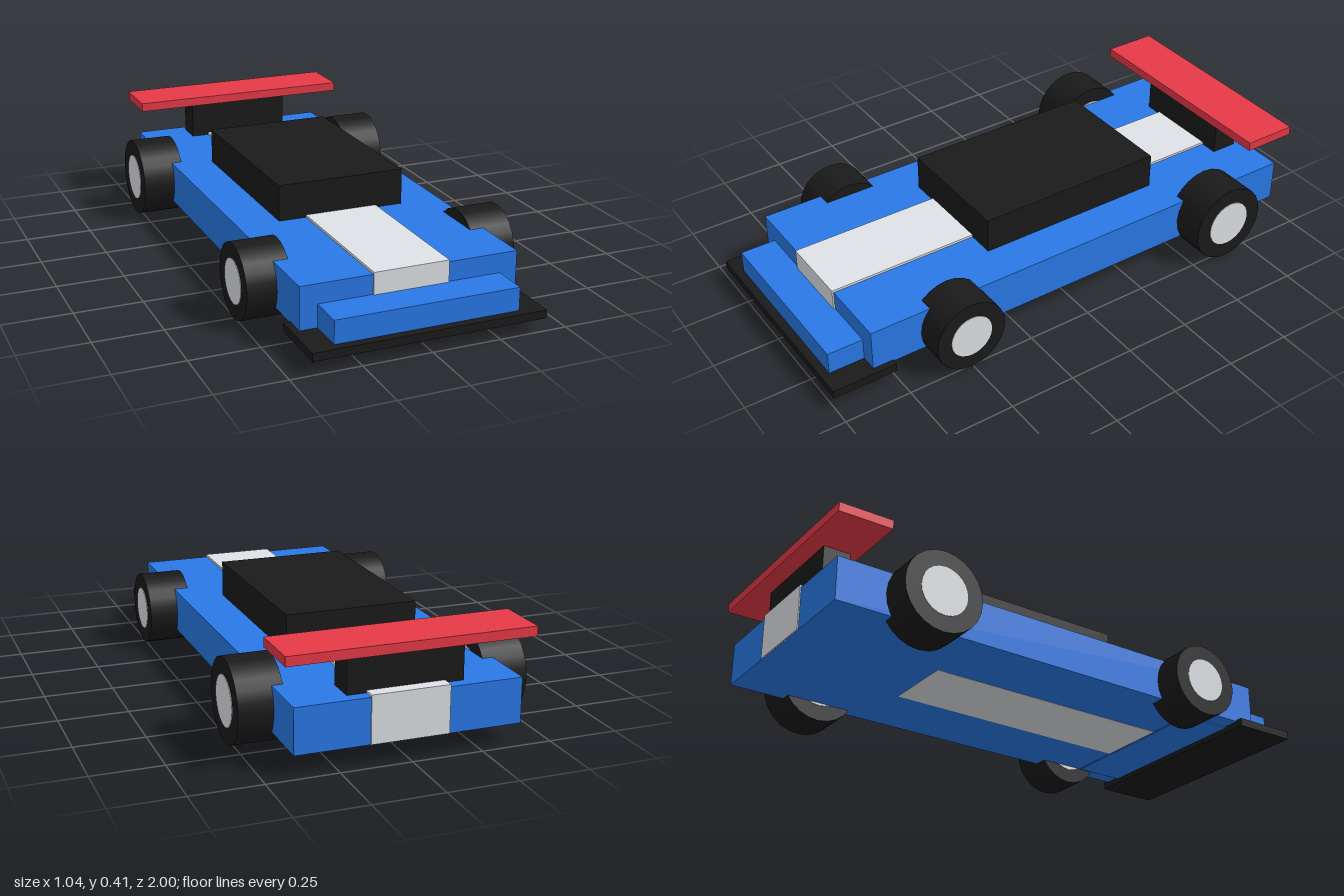
import * as THREE from 'three';

function material(name, color) {
  const m = new THREE.MeshStandardMaterial({ color });
  m.name = name;
  return m;
}

export function createModel() {
  const blue = material('bodyBlue', 0x2979e8);
  const silver = material('silver', 0xdee2e6);
  const black = material('black', 0x1a1a1a);
  const red = material('wingRed', 0xe63946);
  const car = new THREE.Group();
  car.name = 'raceCar';

  // Box centred on x, given by half width and its y and z limits
  function box(name, mat, halfWidth, y0, y1, z0, z1) {
    const mesh = new THREE.Mesh(new THREE.BoxGeometry(halfWidth * 2, y1 - y0, z1 - z0), mat);
    mesh.position.set(0, (y0 + y1) / 2, (z0 + z1) / 2);
    mesh.name = name;
    car.add(mesh);
  }

  // Body, nose and cabin
  box('body', blue, 0.398, 0.07, 0.231, -0.977, 0.833);
  box('nose', blue, 0.335, 0.065, 0.16, 0.56, 0.968);
  box('cabin', black, 0.242, 0.2, 0.365, -0.475, 0.262);

  // Stripe wraps over the top, front and back of the body
  box('stripe', silver, 0.138, 0.071, 0.24, -0.981, 0.839);
  box('undersideStripe', silver, 0.138, 0.069, 0.075, -0.43, 0.58);

  // Aerodynamic parts
  box('frontSplitter', black, 0.423, 0.046, 0.076, 0.755, 1);
  box('wingSupport', black, 0.205, 0.2, 0.376, -0.935, -0.832);
  box('rearWing', red, 0.433, 0.375, 0.409, -1, -0.795);

  // Wheels: a tyre with a hub showing slightly on both faces
  function wheel(name, x, z, radius, hubRadius) {
    const group = new THREE.Group();
    group.name = name;
    const parts = [['tyre', black, radius, 0.16], ['hub', silver, hubRadius, 0.164]];
    for (const [part, mat, r, width] of parts) {
      const geometry = new THREE.CylinderGeometry(r, r, width, 24).rotateZ(Math.PI / 2);
      const mesh = new THREE.Mesh(geometry, mat);
      mesh.name = part;
      group.add(mesh);
    }
    group.position.set(x, radius, z);
    car.add(group);
  }
  for (const [side, s] of [['Left', 1], ['Right', -1]]) {
    wheel('front' + side + 'Wheel', s * 0.425, 0.503, 0.137, 0.082);
    wheel('rear' + side + 'Wheel', s * 0.439, -0.642, 0.15, 0.09);
  }

  return car;
}
